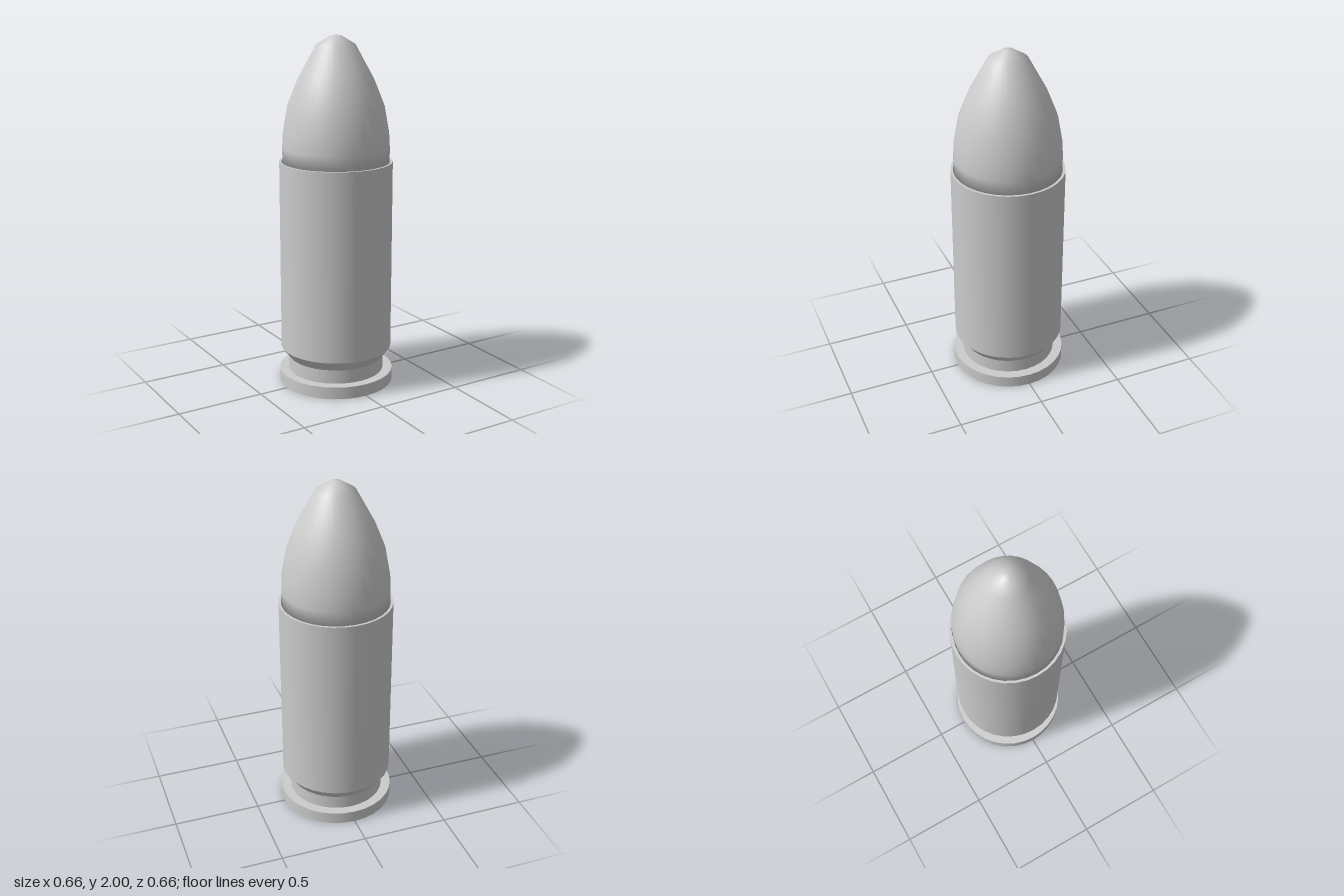
import * as THREE from 'three';
import { mergeGeometries, toCreasedNormals } from 'three/addons/utils/BufferGeometryUtils.js';

const SIDES = 32;

const lathe = (profile) =>
  new THREE.LatheGeometry(profile.map(([r, y]) => new THREE.Vector2(r, y)), SIDES);

// One smooth band per profile segment, so every profile corner stays sharp
const banded = (profile) =>
  mergeGeometries(profile.slice(1).map((p, i) => lathe([profile[i], p])));

export function createModel() {
  const group = new THREE.Group();
  const add = (name, geometry, flatShading = false) => {
    const material = new THREE.MeshStandardMaterial({ color: 0xcccccc, flatShading });
    const mesh = new THREE.Mesh(geometry, material);
    mesh.name = name;
    group.add(mesh);
  };

  // Recessed disc in the middle of the base
  add('primer', lathe([[0, 0.015], [0.115, 0.015]]));

  // Base flange and the narrow groove above it
  add('rim', banded([[0.115, 0.015], [0.115, 0], [0.33, 0], [0.33, 0.07], [0.275, 0.07]]));
  add('extractorGroove', lathe([[0.275, 0.07], [0.275, 0.15]]));
  add('grooveBevel', lathe([[0.275, 0.15], [0.32, 0.21]]), true);

  // Straight case wall with a thin open mouth
  add('caseBody', banded([[0.32, 0.21], [0.32, 1.3], [0.306, 1.3], [0.306, 1.24]]));

  // Rounded nose, seated in the mouth
  add('bulletTip', lathe([
    [0, 1.24], [0.302, 1.28], [0.302, 1.38], [0.297, 1.465], [0.27, 1.615],
    [0.212, 1.76], [0.108, 1.95], [0.03, 1.998], [0, 2],
  ]));

  return group;
}
